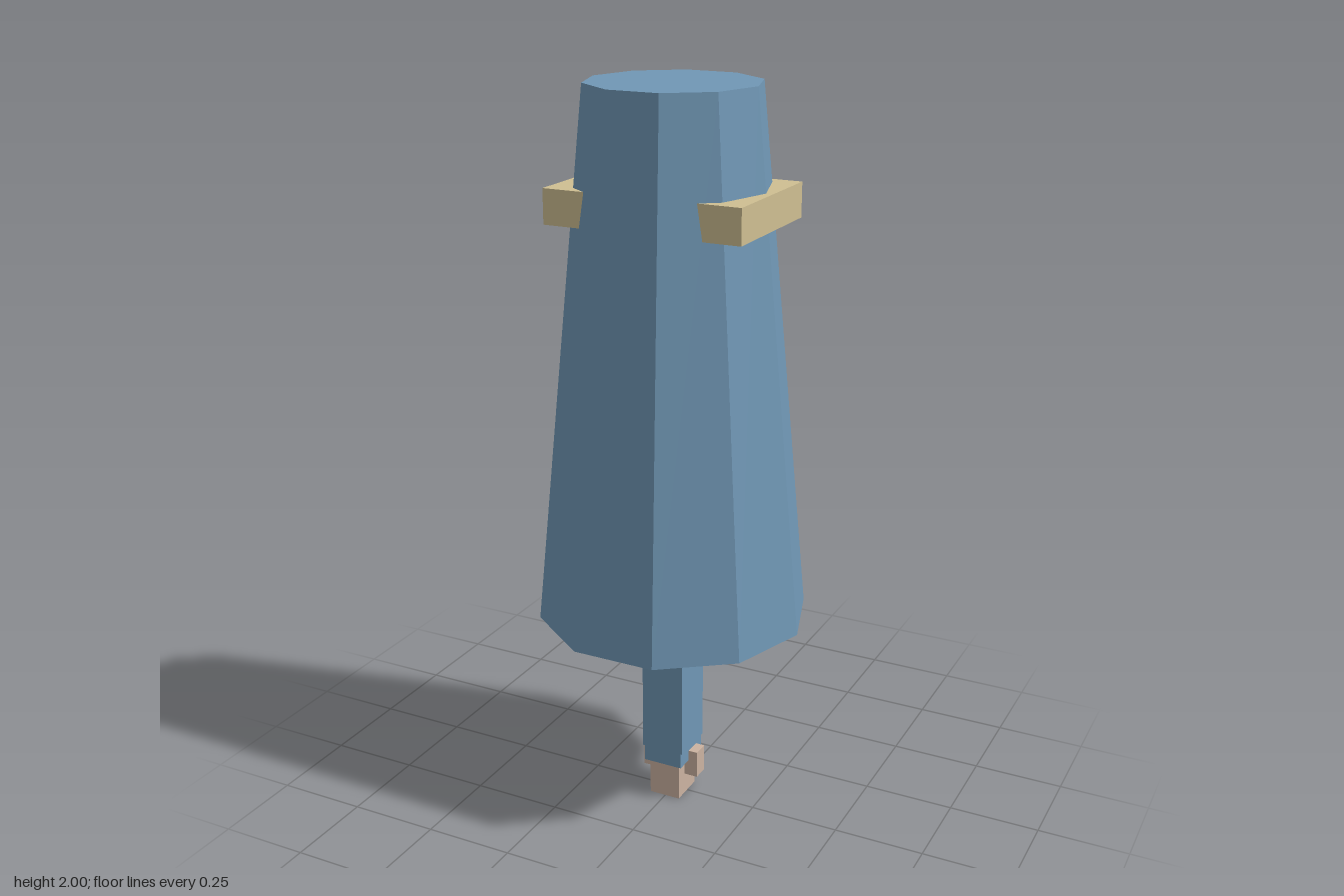
import * as THREE from 'three';

export function createModel() {
  const model = new THREE.Group();
  const mat = (name, color) => {
    const m = new THREE.MeshStandardMaterial({ color });
    m.name = name;
    m.flatShading = true;
    return m;
  };
  const blue = mat('blue cloth', 0x7097b5);
  const tan = mat('tan trim', 0xcfbf92);
  const skin = mat('skin', 0xccb3a1);

  // Box given by its min and max corners
  const box = (name, material, [x0, y0, z0], [x1, y1, z1]) => {
    const mesh = new THREE.Mesh(new THREE.BoxGeometry(x1 - x0, y1 - y0, z1 - z0), material);
    mesh.position.set((x0 + x1) / 2, (y0 + y1) / 2, (z0 + z1) / 2);
    mesh.name = name;
    model.add(mesh);
  };

  // Ten-sided tapered sleeve, with corners on the x axis
  const sleeve = new THREE.Mesh(
    new THREE.CylinderGeometry(0.228, 0.369, 1.43, 10, 1, false, Math.PI / 2), blue);
  sleeve.position.y = 1.285;
  sleeve.name = 'sleeve';
  model.add(sleeve);

  // Trim bar passing through the sleeve, showing on both sides
  box('sleeveTrim', tan, [-0.272, 1.652, -0.185], [0.272, 1.744, 0.185]);

  // Cuff and forearm, slightly narrower at the wrist
  box('cuff', tan, [-0.078, 0.45, -0.077], [0.075, 0.571, 0.077]);
  box('forearm', blue, [-0.063, 0.155, -0.065], [0.06, 0.46, 0.067]);
  box('wrist', blue, [-0.058, 0.11, -0.065], [0.056, 0.155, 0.067]);

  // Hand with a small nub on each side
  box('hand', skin, [-0.047, 0, -0.05], [0.043, 0.112, 0.053]);
  box('rightThumb', skin, [-0.086, 0.062, -0.031], [-0.045, 0.14, 0.016]);
  box('leftThumb', skin, [0.041, 0.062, -0.031], [0.082, 0.14, 0.016]);

  return model;
}
